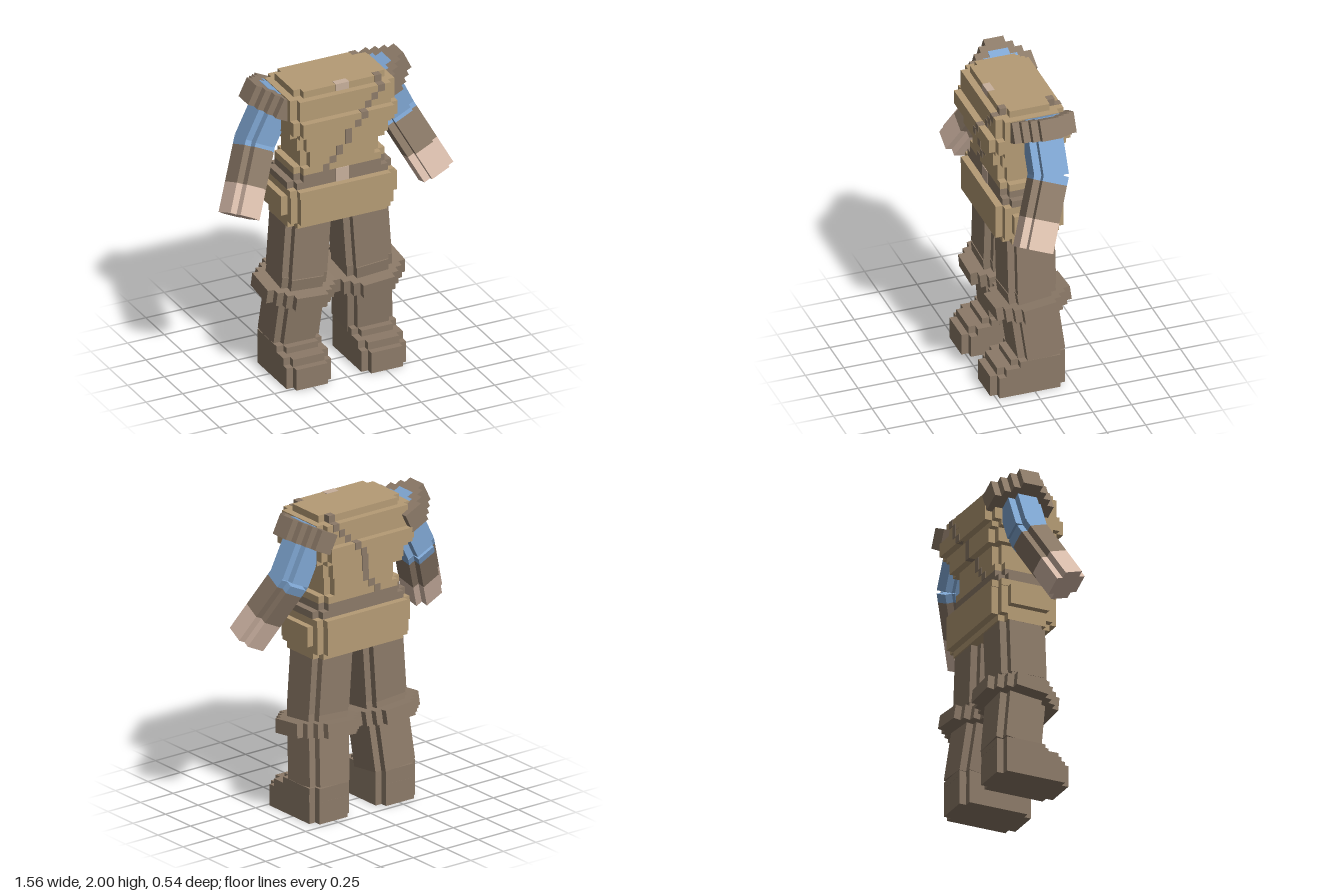
import * as THREE from 'three';

const V = 0.045; // step size of the blocky corners
const mat = (name, color) => {
  const m = new THREE.MeshStandardMaterial({ color });
  m.name = name;
  return m;
};

// Vertical prism from y0 to y1 whose four corners are cut into n square steps
function block(parent, name, material, hw, hd, y0, y1, n = 1, x = 0, z = 0) {
  const corner = [];
  for (let i = 0; i <= n; i++) {
    corner.push([hw - (n - i) * V, hd - i * V]);
    if (i < n) corner.push([hw - (n - i) * V, hd - (i + 1) * V]);
  }
  const pts = [];
  const add = (sx, sy, list) => list.forEach(([a, b]) => pts.push(new THREE.Vector2(a * sx, b * sy)));
  const back = [...corner].reverse();
  add(1, 1, corner);
  add(1, -1, back);
  add(-1, -1, corner);
  add(-1, 1, back);
  const geo = new THREE.ExtrudeGeometry(new THREE.Shape(pts), { depth: y1 - y0, bevelEnabled: false });
  geo.rotateX(-Math.PI / 2);
  const mesh = new THREE.Mesh(geo, material);
  mesh.name = name;
  mesh.position.set(x, y0, z);
  parent.add(mesh);
  return mesh;
}

function box(parent, name, material, w, h, d, x, y, z) {
  const mesh = new THREE.Mesh(new THREE.BoxGeometry(w, h, d), material);
  mesh.name = name;
  mesh.position.set(x, y, z);
  parent.add(mesh);
}

function joint(parent, name, x, y, z) {
  const g = new THREE.Group();
  g.name = name;
  g.position.set(x, y, z);
  parent.add(g);
  return g;
}

export function createModel() {
  const tan = mat('tan cloth', 0xb59b75);
  const brown = mat('brown leather', 0x8c7a68);
  const blue = mat('blue sleeve', 0x7fa6d2);
  const skin = mat('skin', 0xdcc0ae);
  const pale = mat('pale buckle', 0xc8b09c);
  const model = new THREE.Group();
  model.name = 'headlessFigure';

  // Tunic and belt: bottom, top, half width, half depth, corner steps
  const torso = joint(model, 'torso', 0, 0, 0);
  [
    ['skirtHem', 1.05, 1.09, 0.35, 0.175, 1],
    ['skirtLower', 1.09, 1.14, 0.35, 0.22, 1],
    ['skirtMiddle', 1.14, 1.27, 0.395, 0.22, 2],
    ['skirtUpper', 1.27, 1.315, 0.355, 0.22, 1],
    ['beltLower', 1.315, 1.36, 0.355, 0.175, 1],
    ['beltUpper', 1.36, 1.405, 0.31, 0.175, 1],
    ['waistLower', 1.405, 1.45, 0.31, 0.175, 1],
    ['waist', 1.45, 1.585, 0.265, 0.175, 1],
    ['ribs', 1.585, 1.675, 0.31, 0.22, 1],
    ['chestLower', 1.675, 1.71, 0.355, 0.22, 1],
    ['chest', 1.71, 1.8, 0.355, 0.265, 1],
    ['chestUpper', 1.8, 1.935, 0.355, 0.22, 1],
    ['collar', 1.935, 1.98, 0.31, 0.175, 1],
  ].forEach(([name, y0, y1, hw, hd, n]) =>
    block(torso, name, name.startsWith('belt') ? brown : tan, hw, hd, y0, y1, n));

  // Buckle and collar clasp
  box(torso, 'buckle', pale, 0.09, 0.09, 0.008, 0, 1.36, 0.175);
  box(torso, 'collarClasp', pale, 0.09, 0.047, 0.048, 0, 1.9585, 0.1535);

  // Stepped diagonal strap on chest and back: centre x, bottom, top, surface depth
  [
    [0.243, 1.935, 1.98, 0.175],
    [0.243, 1.89, 1.935, 0.22],
    [0.198, 1.845, 1.89, 0.22],
    [0.153, 1.8, 1.845, 0.22],
    [0.108, 1.755, 1.8, 0.265],
    [0.063, 1.71, 1.755, 0.265],
    [0.02, 1.585, 1.71, 0.22],
    [-0.02, 1.495, 1.585, 0.175],
    [-0.065, 1.45, 1.495, 0.175],
    [-0.11, 1.405, 1.45, 0.175],
  ].forEach(([x, y0, y1, z]) => {
    for (const s of [1, -1]) {
      box(torso, s > 0 ? 'strapFront' : 'strapBack', brown,
        V, y1 - y0 + 0.002, V, x, (y0 + y1) / 2 + 0.001, s * (z - V / 2 + 0.003));
    }
  });

  for (const s of [1, -1]) {
    const side = s > 0 ? 'left' : 'right';

    // Arm: sleeve through a shoulder pad, forearm bent forward
    const arm = joint(model, side + 'Arm', s * 0.32, 1.91, -0.06);
    arm.rotation.z = s * 0.455;
    block(arm, 'upperArm', blue, 0.11, 0.11, -0.37, 0.003);
    block(arm, 'shoulderPad', brown, 0.2, 0.2, -0.13, 0, 3);
    const elbow = joint(arm, side + 'Forearm', 0, -0.36, 0);
    elbow.rotation.x = -0.37;
    block(elbow, 'sleeveEnd', blue, 0.11, 0.11, -0.045, 0.01);
    block(elbow, 'bracer', brown, 0.11, 0.11, -0.28, -0.045);
    block(elbow, 'hand', skin, 0.11, 0.11, -0.47, -0.28);

    // Leg: thigh, shin leaning back, wide knee band
    const leg = joint(model, side + 'Leg', s * 0.192, 1.08, -0.01);
    leg.rotation.z = s * 0.07;
    block(leg, 'thigh', brown, 0.155, 0.155, -0.4, 0);
    const knee = joint(leg, side + 'Shin', 0, -0.4, 0.005);
    knee.rotation.x = 0.12;
    block(knee, 'shin', brown, 0.153, 0.153, -0.47, 0.015);
    block(knee, 'kneeBand', brown, 0.243, 0.243, -0.15, -0.06, 3);

    // Boot with a toe that steps down
    const boot = joint(model, side + 'Boot', s * 0.255, 0, 0);
    block(boot, 'sole', brown, 0.152, 0.243, 0, 0.14, 1, 0, 0.032);
    block(boot, 'instep', brown, 0.152, 0.22, 0.14, 0.19, 1, 0, 0.01);
    block(boot, 'ankle', brown, 0.152, 0.176, 0.19, 0.23, 1, 0, -0.035);
  }
  return model;
}
